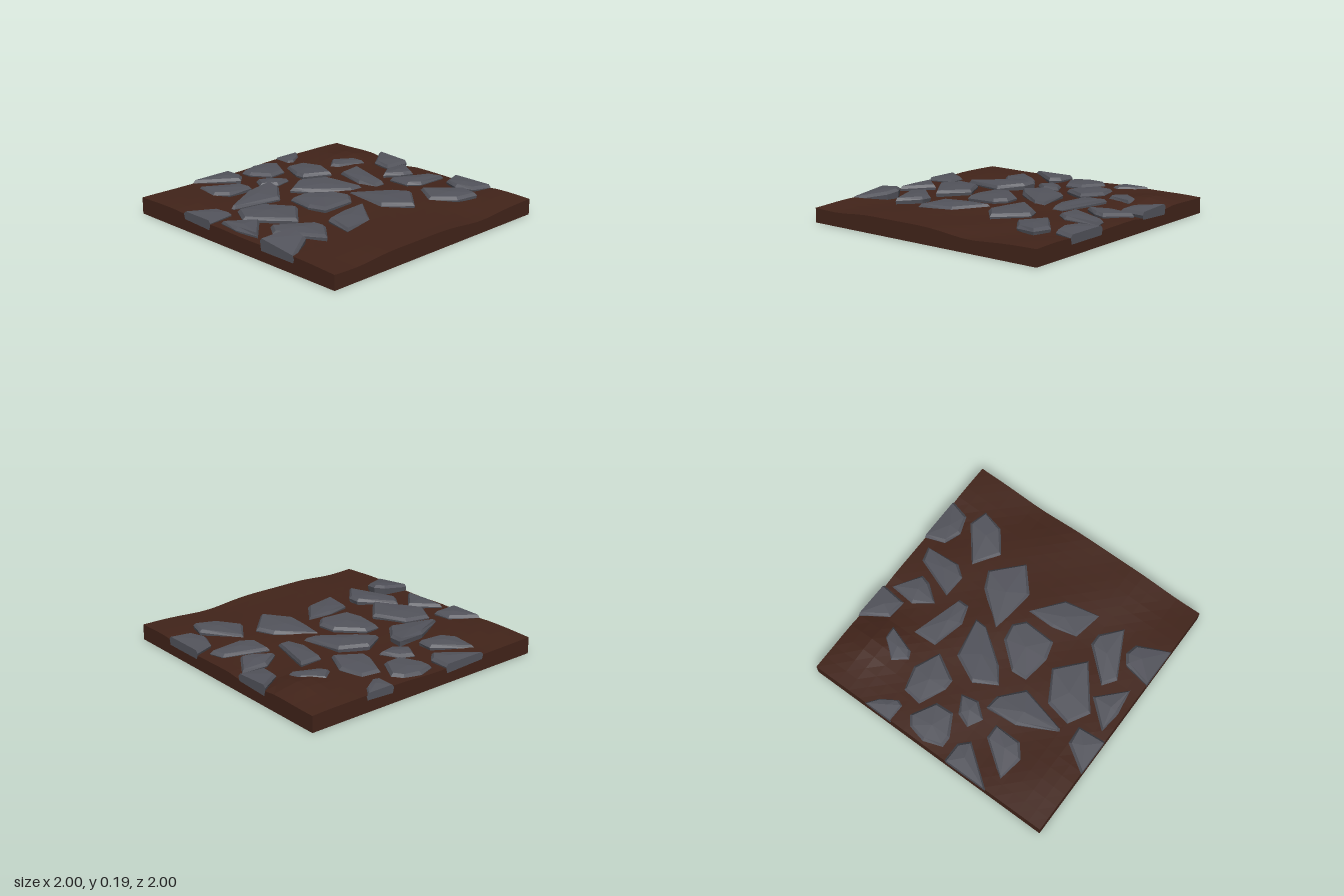
import * as THREE from 'three';

const soilMat = new THREE.MeshStandardMaterial({ color: 0x42241a, flatShading: true, side: THREE.DoubleSide });
const stoneMat = new THREE.MeshStandardMaterial({ color: 0x53545c, flatShading: true, side: THREE.DoubleSide });

// Each stone: [top height, slope along x, slope along z, outline x, z, x, z, ...]
const backStones = [
  [0.145, 0, 0.02, -0.53, -1, -0.17, -1, -0.17, -0.85, -0.24, -0.78],
  [0.145, 0.02, 0.03, -0.1, -0.93, 0.04, -0.98, 0.18, -0.95, 0.23, -0.88, 0.13, -0.7, -0.01, -0.69, -0.1, -0.85],
  [0.14, 0, 0.02, 0.31, -1, 0.55, -1, 0.49, -0.92, 0.36, -0.84, 0.31, -0.86],
  [0.145, 0.03, 0.03, -0.57, -0.88, -0.31, -0.69, -0.31, -0.58, -0.52, -0.58, -0.6, -0.68],
  [0.14, 0, 0.03, -0.15, -0.71, -0.04, -0.67, 0.03, -0.54, -0.1, -0.51, -0.21, -0.6],
  [0.15, 0, 0.04, 0.23, -0.78, 0.38, -0.76, 0.43, -0.58, 0.34, -0.39, 0.14, -0.5, 0.14, -0.58],
  [0.15, 0.03, 0, 0.59, -0.65, 0.74, -0.53, 0.74, -0.43, 0.52, -0.5, 0.49, -0.56],
];
const middleStones = [
  [0.15, 0.03, 0, -1, -0.51, -0.8, -0.38, -0.79, -0.24, -1, -0.22],
  [0.16, 0.04, -0.05, -0.7, -0.35, -0.42, -0.5, -0.18, -0.52, -0.19, -0.41, -0.33, -0.24, -0.69, -0.33],
  [0.155, 0.02, -0.05, -0.15, -0.33, 0.02, -0.43, 0.23, -0.33, 0.29, -0.02, 0.2, -0.02, -0.06, -0.21],
  [0.15, 0.03, -0.02, 0.41, -0.36, 0.59, -0.37, 0.48, 0.03, 0.4, 0.03, 0.35, -0.11],
  [0.145, 0.02, -0.05, 1, -0.51, 0.81, -0.38, 0.8, -0.23, 1, -0.21],
  [0.145, -0.04, 0.04, 0.61, -0.1, 0.75, -0.2, 0.95, -0.18, 0.82, 0.02, 0.74, 0],
  [0.155, 0.02, 0.02, -0.71, -0.27, -0.51, -0.23, -0.38, 0, -0.56, 0.2, -0.8, -0.11],
  [0.15, 0.04, 0, -0.94, -0.17, -0.74, 0, -0.93, 0.2, -0.96, 0],
  [0.16, 0.03, 0.02, -0.28, -0.18, -0.16, -0.19, 0.03, -0.03, 0.05, 0.1, -0.02, 0.18, -0.27, 0.17, -0.31, 0.03],
  [0.145, -0.04, 0.02, 0.58, 0, 0.9, 0.12, 0.93, 0.23, 0.66, 0.25, 0.57, 0.18],
];
const frontStones = [
  [0.15, 0.02, 0.03, 0.13, 0, 0.39, 0.21, 0.45, 0.34, 0.25, 0.55, 0.09, 0.37, 0.1, 0.17],
  [0.15, 0.05, 0.02, -0.74, 0.11, -0.5, 0.32, -0.5, 0.41, -0.63, 0.56, -0.81, 0.21],
  [0.145, 0, -0.04, -0.38, 0.31, -0.19, 0.26, 0.02, 0.26, -0.15, 0.49, -0.42, 0.54],
  [0.17, 0.14, -0.12, -1, 0.3, -0.8, 0.33, -0.75, 0.4, -0.77, 0.5, -1, 0.63],
  [0.145, -0.04, 0, 1, 0.28, 0.85, 0.33, 0.8, 0.46, 0.85, 0.6, 1, 0.64],
  [0.15, 0.04, 0.02, 0.58, 0.31, 0.79, 0.57, 0.75, 0.71, 0.58, 0.67, 0.45, 0.5],
];

// Uneven ground height, with a mound, and dips under the edge stones
function groundHeight(x, z) {
  const bump = (cx, cz, r, h) => h * Math.exp(-((x - cx) ** 2 + (z - cz) ** 2) / (r * r));
  return 0.119
    + 0.006 * Math.sin(4.3 * x + 1.7 * z + 0.6)
    + 0.005 * Math.sin(5.1 * z - 2.9 * x + 1.2)
    + 0.003 * Math.sin(9.0 * x + 7.0 * z)
    + bump(0.8, -0.62, 0.17, 0.035) + bump(-0.85, -0.8, 0.25, 0.012)
    + bump(1, -0.33, 0.15, -0.035) + bump(-1, -0.35, 0.15, -0.02)
    + bump(1, 0.46, 0.17, -0.02) + bump(-0.75, 1, 0.2, -0.015) + bump(0.42, 1, 0.2, -0.012);
}

function makeGeometry(positions, indices) {
  const g = new THREE.BufferGeometry();
  g.setAttribute('position', new THREE.Float32BufferAttribute(positions, 3));
  g.setIndex(indices);
  g.computeVertexNormals();
  return g;
}

function groundSurface(n) {
  const g = new THREE.PlaneGeometry(2, 2, n, n).rotateX(-Math.PI / 2);
  const p = g.attributes.position;
  for (let i = 0; i < p.count; i++) p.setY(i, groundHeight(p.getX(i), p.getZ(i)));
  g.computeVertexNormals();
  return g;
}

// Side wall from y = 0 up to the ground edge; side k is turned k quarter turns
function groundWall(k, n) {
  const positions = [], indices = [];
  const c = Math.round(Math.cos(k * Math.PI / 2)), s = Math.round(Math.sin(k * Math.PI / 2));
  for (let i = 0; i <= n; i++) {
    const t = -1 + 2 * i / n;
    const x = c * t + s, z = c - s * t;
    positions.push(x, 0, z, x, groundHeight(x, z), z);
    if (i < n) {
      const a = 2 * i;
      indices.push(a, a + 2, a + 1, a + 1, a + 2, a + 3);
    }
  }
  return makeGeometry(positions, indices);
}

// Chipped slab, open below: buried rim, upper rim, bevelled top rim and centre
function stoneGeometry([height, slopeX, slopeZ, ...flat]) {
  let outline = [];
  for (let i = 0; i < flat.length; i += 2) outline.push(new THREE.Vector2(flat[i], flat[i + 1]));
  if (THREE.ShapeUtils.area(outline) > 0) outline.reverse();
  const n = outline.length;
  const centre = outline.reduce((sum, p) => sum.add(p), new THREE.Vector2()).divideScalar(n);
  const topAt = (p) => height + slopeX * (p.x - centre.x) + slopeZ * (p.y - centre.y);
  const rings = [
    { inset: 0.012, y: (p, i) => 0.075 + 0.012 * (i % 2) },
    { inset: 0, y: (p) => topAt(p) - 0.022 },
    { inset: 0.022, y: topAt },
  ];
  const positions = [], indices = [];
  rings.forEach(({ inset, y }, r) => outline.forEach((p, i) => {
    const q = p.clone().addScaledVector(centre.clone().sub(p).normalize(), inset);
    // Keep cut stones flush with the tile border
    if (Math.abs(p.x) === 1) q.x = p.x * 1.0005;
    if (Math.abs(p.y) === 1) q.y = p.y * 1.0005;
    positions.push(q.x, y(q, i), q.y);
    if (r < 2) {
      const a = r * n + i, b = r * n + (i + 1) % n;
      indices.push(a, b, a + n, b, b + n, a + n);
    } else {
      indices.push(2 * n + i, 2 * n + (i + 1) % n, 3 * n);
    }
  }));
  positions.push(centre.x, height + 0.008, centre.y);
  return makeGeometry(positions, indices);
}

export function createModel() {
  const model = new THREE.Group();
  model.name = 'stonyGroundTile';
  const add = (parent, name, geometry, material) => {
    const mesh = new THREE.Mesh(geometry, material);
    mesh.name = name;
    parent.add(mesh);
  };

  // Hollow earth tile, open underneath
  const ground = new THREE.Group();
  ground.name = 'ground';
  add(ground, 'groundSurface', groundSurface(20), soilMat);
  ['frontWall', 'leftWall', 'backWall', 'rightWall'].forEach((name, k) => add(ground, name, groundWall(k, 20), soilMat));
  model.add(ground);

  // Paving stones
  const rows = { backStones, middleStones, frontStones };
  for (const [name, list] of Object.entries(rows)) {
    const row = new THREE.Group();
    row.name = name;
    list.forEach((data, i) => add(row, `stone${i + 1}`, stoneGeometry(data), stoneMat));
    model.add(row);
  }
  return model;
}
